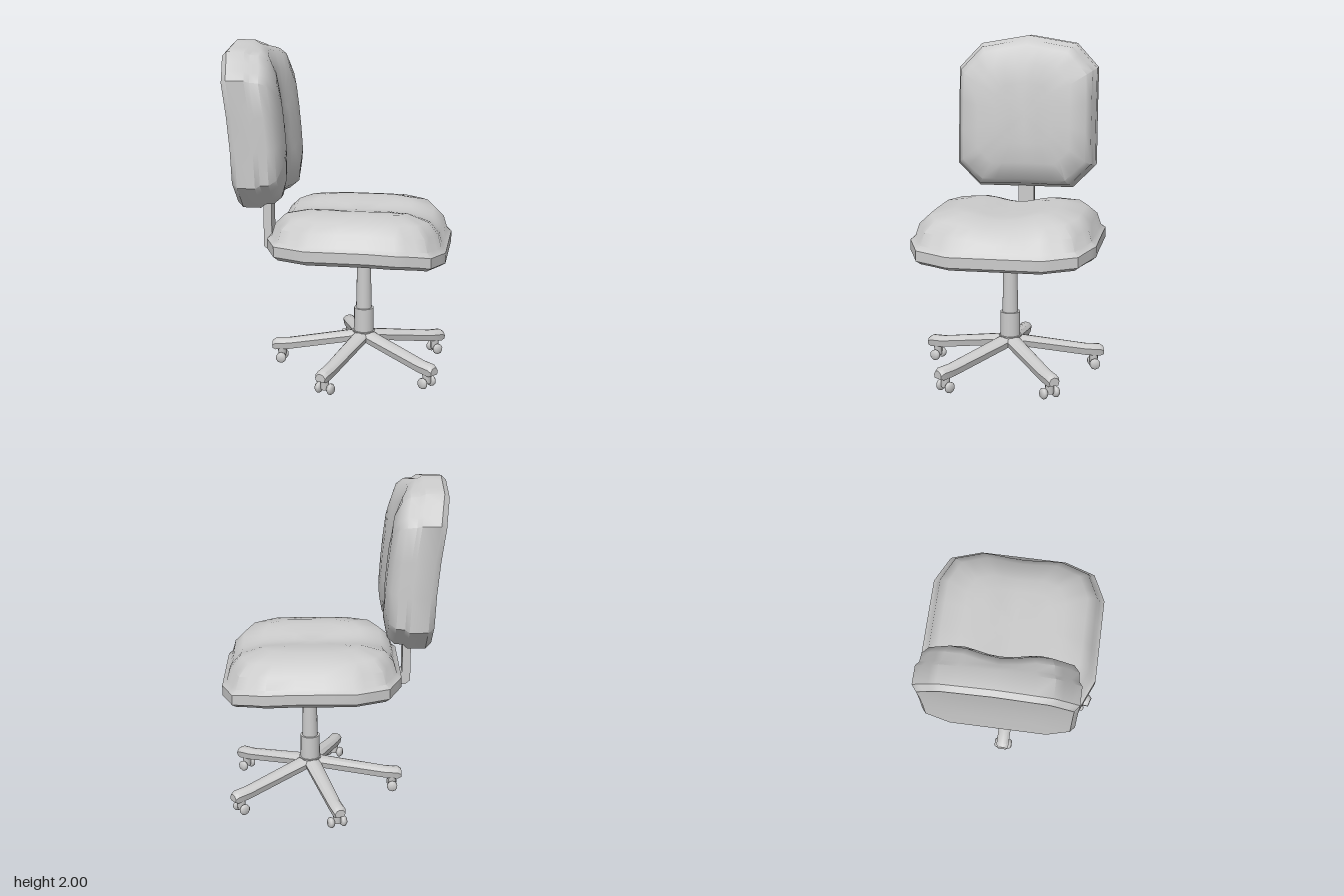
import * as THREE from 'three';
import { toCreasedNormals } from 'three/addons/utils/BufferGeometryUtils.js';

const material = new THREE.MeshStandardMaterial({ color: 0xcccccc, side: THREE.DoubleSide });

function add(parent, name, geometry, x = 0, y = 0, z = 0) {
  const mesh = new THREE.Mesh(geometry, material);
  mesh.name = name;
  mesh.position.set(x, y, z);
  parent.add(mesh);
  return mesh;
}

// Skin a list of rings (arrays of [x, y, z]), capping both ends
function loft(rings, crease) {
  const n = rings[0].length;
  const index = [];
  for (let i = 0; i < rings.length - 1; i++) {
    for (let j = 0; j < n; j++) {
      const a = i * n + j, b = i * n + (j + 1) % n;
      index.push(a, b, b + n, a, b + n, a + n);
    }
  }
  const last = (rings.length - 1) * n;
  for (let j = 1; j < n - 1; j++) {
    index.push(0, j + 1, j, last, last + j, last + j + 1);
  }
  const geometry = new THREE.BufferGeometry();
  geometry.setAttribute('position', new THREE.Float32BufferAttribute(rings.flat(2), 3));
  geometry.setIndex(index);
  return toCreasedNormals(geometry, crease);
}

// Cushion: mirrored half outline, scaled about its centre at each [scale, height]
function cushion(half, centre, profile, place) {
  const full = [...half, ...half.slice(1, -1).reverse().map(([u, v]) => [u, -v])];
  const outline = [];
  full.forEach(([u, v], i) => {
    const [u2, v2] = full[(i + 1) % full.length];
    for (let k = 0; k < 3; k++) outline.push([u + (u2 - u) * k / 3, v + (v2 - v) * k / 3]);
  });
  const rings = profile.map(([s, h]) =>
    outline.map(([u, v]) => place(centre + (u - centre) * s, v * s, h)));
  return loft(rings, 0.75);
}

// Soft groove down the middle of each cushion
const groove = (v, depth) => Math.abs(v) < 0.24 ? depth * (1 + Math.cos(Math.PI * v / 0.24)) / 2 : 0;

export function createModel() {
  const chair = new THREE.Group();
  chair.name = 'swivelChair';

  // Seat with a drooping front edge
  const seatHalf = [[0.65, 0], [0.65, 0.27], [0.58, 0.46], [0.4, 0.54],
    [-0.13, 0.54], [-0.32, 0.46], [-0.4, 0.27], [-0.4, 0]];
  const seatProfile = [[0, 0.775], [0.5, 0.775], [0.75, 0.775], [0.95, 0.775], [1, 0.8], [1, 0.86],
    [0.95, 0.88], [0.91, 0.95], [0.8, 1.005], [0.56, 1.03], [0.4, 1.03], [0.2, 1.03], [0, 1.03]];
  add(chair, 'seat', cushion(seatHalf, 0.125, seatProfile, (u, v, h) => {
    const t = Math.max(0, (u - 0.25) / 0.4);
    return [u, h - 0.045 * t * t - (h > 0.9 ? groove(v, 0.035) : 0), -v];
  }));

  // Backrest, curving backwards towards the top
  const backHalf = [[2, 0], [1.95, 0.3], [1.8, 0.44], [1.19, 0.44], [1.05, 0.3], [1.05, 0]];
  const backProfile = [[0, 0], [0.5, 0], [0.94, 0], [1, 0.035], [1, 0.14],
    [0.96, 0.165], [0.95, 0.215], [0.88, 0.255], [0.66, 0.28], [0.4, 0.285], [0.2, 0.285], [0, 0.285]];
  add(chair, 'backrest', cushion(backHalf, 1.525, backProfile, (u, v, h) => {
    const lean = -0.565 - 0.115 * Math.max(0, u - 1.1) ** 2;
    return [lean + h - (h > 0.2 ? groove(v, 0.04) : 0), u, v];
  }));

  // Bent bracket joining seat and backrest
  const bend = new THREE.Shape([[-0.47, 1.15], [-0.47, 0.755], [-0.44, 0.73], [-0.2, 0.745],
    [-0.2, 0.79], [-0.4, 0.79], [-0.42, 0.81], [-0.42, 1.15]].map(p => new THREE.Vector2(...p)));
  add(chair, 'backBracket', new THREE.ExtrudeGeometry(bend, { depth: 0.1, bevelEnabled: false }), 0, 0, -0.05);

  // Column and pedestal
  const base = new THREE.Group();
  base.name = 'base';
  base.position.x = 0.14;
  chair.add(base);
  add(base, 'gasColumn', new THREE.CylinderGeometry(0.04, 0.048, 0.42, 16), 0, 0.58, 0);
  add(base, 'columnSleeve', new THREE.CylinderGeometry(0.06, 0.06, 0.18, 16), 0, 0.29, 0);
  add(base, 'hub', new THREE.CylinderGeometry(0.07, 0.055, 0.06, 10), 0, 0.205, 0);

  // Leg stations: distance, top, bottom, half width
  const stations = [[0, 0.24, 0.175, 0.05], [0.06, 0.232, 0.17, 0.05], [0.47, 0.157, 0.092, 0.04],
    [0.55, 0.152, 0.085, 0.04], [0.572, 0.138, 0.092, 0.032]];
  const legGeometry = loft(stations.map(([r, top, low, w]) => [
    [r, low, -w * 0.8], [r, top - 0.025, -w], [r, top - 0.005, -w * 0.6], [r, top, 0],
    [r, top - 0.005, w * 0.6], [r, top - 0.025, w], [r, low, w * 0.8]]), 0.7);

  // Five legs with twin-wheel casters
  for (let i = 0; i < 5; i++) {
    const leg = new THREE.Group();
    leg.name = 'legWithCaster';
    leg.rotation.y = Math.PI + i * Math.PI * 2 / 5;
    base.add(leg);
    add(leg, 'leg', legGeometry);
    add(leg, 'casterStem', new THREE.CylinderGeometry(0.028, 0.024, 0.07, 8), 0.515, 0.065, 0);
    add(leg, 'casterAxle', new THREE.CylinderGeometry(0.014, 0.014, 0.07, 8), 0.515, 0.038, 0).rotation.x = Math.PI / 2;
    for (const side of [-1, 1]) {
      const wheel = new THREE.LatheGeometry([[0, -0.018], [0.022, -0.018], [0.033, -0.006],
        [0.033, 0.006], [0.022, 0.018], [0, 0.018]].map(p => new THREE.Vector2(...p)), 10);
      add(leg, 'casterWheel', wheel, 0.515, 0.035, side * 0.038).rotation.x = Math.PI / 2;
    }
  }
  return chair;
}
